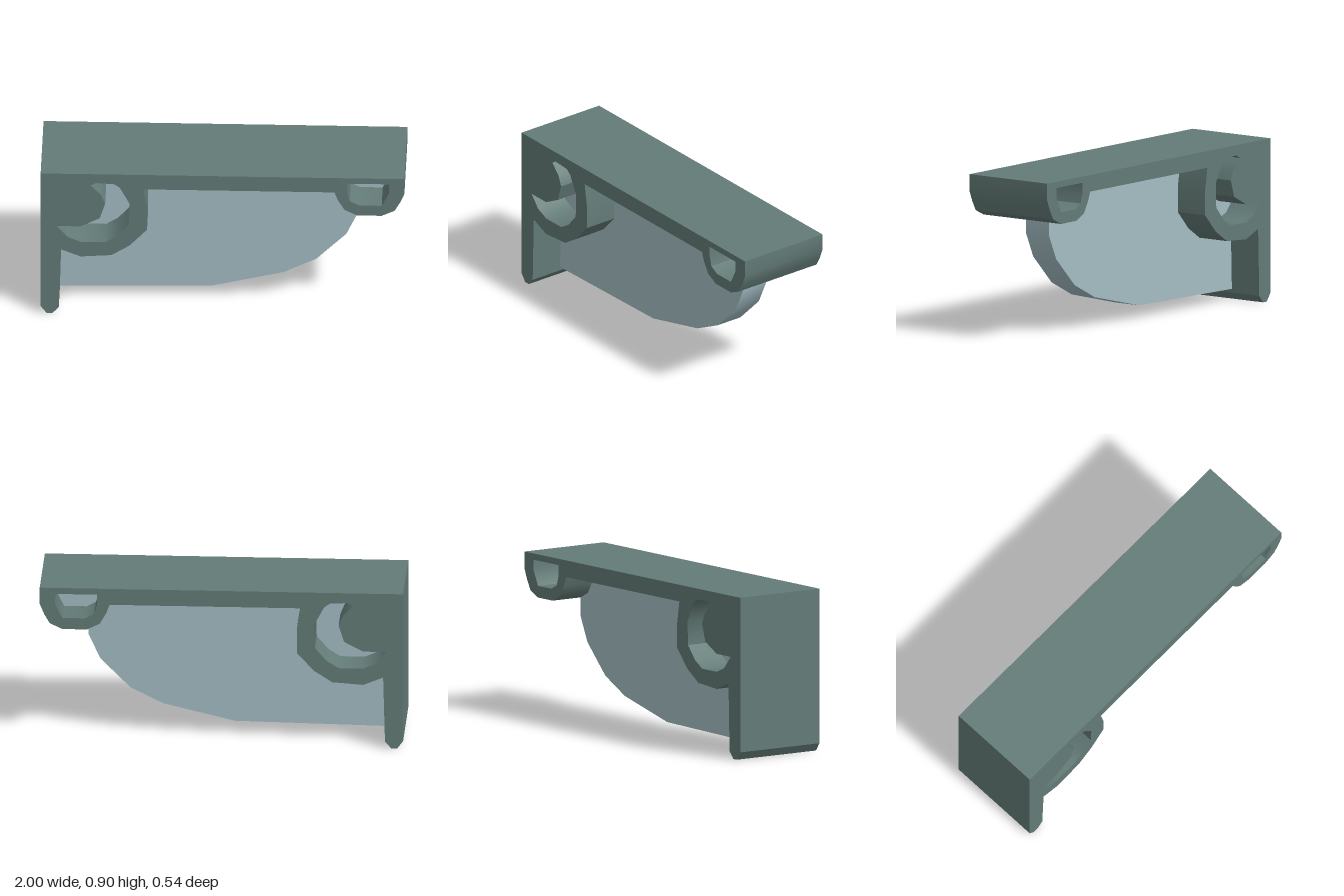
import * as THREE from 'three';
import { toCreasedNormals } from 'three/addons/utils/BufferGeometryUtils.js';

const toPoints = (pairs) => pairs.map(([x, y]) => new THREE.Vector2(x, y));

// Extrudes a profile along z, centred on z = 0, keeping its sharp corners
function slab(name, outline, holes, depth, material) {
  const shape = new THREE.Shape(toPoints(outline));
  for (const hole of holes) shape.holes.push(new THREE.Path(toPoints(hole)));
  const geometry = new THREE.ExtrudeGeometry(shape, { depth, bevelEnabled: false });
  geometry.translate(0, 0, -depth / 2);
  const mesh = new THREE.Mesh(toCreasedNormals(geometry, 0.6), material);
  mesh.name = name;
  return mesh;
}

export function createModel() {
  const group = new THREE.Group();
  group.name = 'bracket';
  const darkGreen = new THREE.MeshStandardMaterial({ color: 0x637b77 });
  const paleBlue = new THREE.MeshStandardMaterial({ color: 0xa3bdc3 });

  // Top plate, wall leg, corner ring and end loop in one profile
  const frameOutline = [
    [-1, 0.905], [-1, 0.045], [-0.967, 0], [-0.935, 0], [-0.9, 0.04],
    [-0.89, 0.415], [-0.78, 0.37], [-0.61, 0.382], [-0.51, 0.447],
    [-0.415, 0.55], [-0.415, 0.69], [-0.435, 0.812],
    [0.615, 0.812], [0.635, 0.76], [0.67, 0.7], [0.74, 0.665],
    [0.875, 0.665], [0.945, 0.698], [0.975, 0.75], [1, 0.81], [1, 0.905],
  ];
  const crescentHole = [
    [-0.725, 0.83], [-0.695, 0.848], [-0.595, 0.842], [-0.565, 0.82],
    [-0.51, 0.715], [-0.515, 0.58], [-0.58, 0.505], [-0.645, 0.465],
    [-0.78, 0.465], [-0.85, 0.495], [-0.91, 0.565], [-0.78, 0.565],
    [-0.675, 0.62], [-0.645, 0.715], [-0.67, 0.775],
  ];
  const endHole = [
    [0.685, 0.87], [0.915, 0.87], [0.915, 0.81], [0.875, 0.73],
    [0.75, 0.73], [0.7, 0.757], [0.685, 0.81],
  ];
  group.add(slab('frame', frameOutline, [crescentHole, endHole], 0.54, darkGreen));

  // Thin stiffening web below the plate
  const webOutline = [
    [-0.95, 0.06], [-0.065, 0.075], [0.33, 0.17], [0.51, 0.26],
    [0.675, 0.425], [0.74, 0.565], [0.74, 0.7], [0.69, 0.71],
    [0.575, 0.812], [0.575, 0.87], [-0.95, 0.87],
  ];
  group.add(slab('web', webOutline, [], 0.16, paleBlue));

  // Continuation of the web inside the end loop
  group.add(slab('endLoopWeb', endHole, [], 0.16, paleBlue));

  return group;
}
